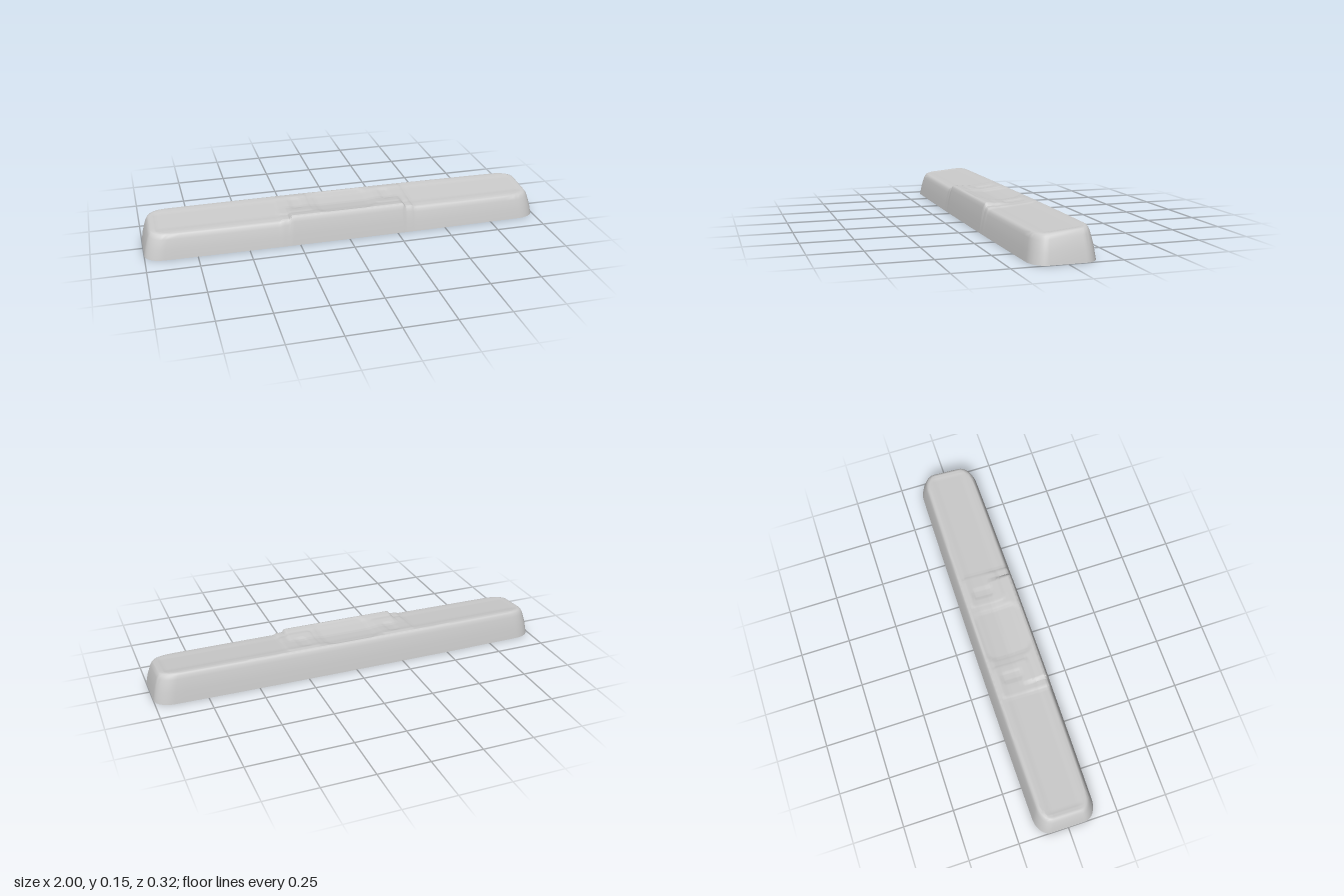
import * as THREE from 'three';
import { toCreasedNormals } from 'three/addons/utils/BufferGeometryUtils.js';

const material = new THREE.MeshStandardMaterial({ color: 0xcccccc, side: THREE.DoubleSide });
const { smoothstep } = THREE.MathUtils;

// 1 inside a rounded rectangle, fading to 0 across its edge
function pad(x, z, cx, cz, hx, hz, r, soft = 0.014) {
  const qx = Math.abs(x - cx) - hx + r, qz = Math.abs(z - cz) - hz + r;
  const d = Math.hypot(Math.max(qx, 0), Math.max(qz, 0)) + Math.min(Math.max(qx, qz), 0) - r;
  return 1 - smoothstep(d, -soft / 2, soft / 2);
}

// Height of the top: tilted plane, raised front centre, stepped pads and thumb dish
function topHeight(x, z) {
  const ax = Math.abs(x);
  const outer = pad(ax, z, 0, 0.05, 0.335, 0.16, 0.05);
  const inner = pad(ax, z, 0, 0.1, 0.29, 0.12, 0.05);
  const centre = pad(ax, z, 0, 0, 0.17, 0.125, 0.05);
  const raise = 0.3 * outer + 0.7 * Math.max(inner, centre);
  let y = 0.134 - 0.095 * z + 0.19 * Math.max(z, 0) * raise;
  y += 0.003 * pad(ax, z, 0.25, -0.02, 0.085, 0.09, 0.025);
  y -= 0.003 * pad(ax, z, 0.235, -0.03, 0.025, 0.05, 0.015);
  y -= 0.004 * pad(x, z, 0, 0, 0.135, 0.115, 0.05, 0.03);
  // shallow scoop inside the end lips
  return y - 0.0025 * smoothstep(0.955 - ax, 0.01, 0.03) * smoothstep(0.1 - Math.abs(z), 0, 0.04);
}

// Plan outline: half width at a lengthwise position between -1 and 1
const corner = 0.09;
function halfWidth(x) {
  const t = Math.max(0, (Math.abs(x) - 1 + corner) / corner);
  return (0.55 + 0.45 * Math.sqrt(Math.max(0, 1 - t * t))) * (1 - 0.05 * x * x);
}

function lengthSamples() {
  const half = [];
  for (let x = 0; x < 0.385; x += 0.008) half.push(x);
  for (let x = 0.42; x < 0.9; x += 0.04) half.push(x);
  for (let i = 0; i <= 10; i++) half.push(1 - corner + corner * Math.sin(i * Math.PI / 20));
  return [...half.slice(1).reverse().map(x => -x), ...half];
}

// Hollow shell: rings run down the inside, round the lip and up the outside
function shellGeometry() {
  const xs = lengthSamples(), n = xs.length, nz = 36;
  // half length, half width, share of the top height
  const levels = [
    [0.935, 0.112, 0.86], [0.95, 0.122, 0.8], [0.984, 0.147, 0],
    [1, 0.159, 0], [0.99, 0.151, 0.4], [0.974, 0.139, 0.8],
    [0.967, 0.134, 0.91], [0.96, 0.129, 0.97], [0.95, 0.122, 1]
  ];
  const pos = [], index = [];
  const point = ([a, b, f], i, s) => {
    const x = a * xs[i], z = b * s * halfWidth(xs[i]);
    pos.push(x, f * topHeight(x, z), z);
  };
  const quad = (a, b, c, d) => index.push(a, b, c, a, c, d);
  const ring = 2 * n;
  levels.forEach(l => {
    for (let i = 0; i < n; i++) point(l, i, 1);
    for (let i = n - 1; i >= 0; i--) point(l, i, -1);
  });
  for (let k = 0; k < levels.length - 1; k++)
    for (let i = 0; i < ring; i++) {
      const j = (i + 1) % ring, o = k * ring;
      quad(o + i, o + j, o + ring + j, o + ring + i);
    }
  // ceiling and top surface
  for (const [l, up] of [[levels[0], false], [levels[levels.length - 1], true]]) {
    const o = pos.length / 3;
    for (let i = 0; i < n; i++) for (let j = 0; j <= nz; j++) point(l, i, -1 + 2 * j / nz);
    for (let i = 0; i < n - 1; i++) for (let j = 0; j < nz; j++) {
      const a = o + i * (nz + 1) + j, b = a + nz + 1;
      if (up) quad(a, a + 1, b + 1, b); else quad(a, b, b + 1, a + 1);
    }
  }
  const g = new THREE.BufferGeometry();
  g.setAttribute('position', new THREE.Float32BufferAttribute(pos, 3));
  g.setIndex(index);
  return toCreasedNormals(g, 0.7);
}

// Cross rib with an arched lower edge
function ribGeometry() {
  const s = new THREE.Shape();
  s.moveTo(-0.144, 0.02);
  s.quadraticCurveTo(0, 0.11, 0.144, 0.02);
  s.lineTo(0.116, 0.113);
  s.lineTo(-0.116, 0.113);
  const g = new THREE.ExtrudeGeometry(s, { depth: 0.022, bevelEnabled: false, curveSegments: 16 });
  return g.translate(0, 0, -0.011).rotateY(-Math.PI / 2);
}

// Upright extrusion of a plan shape
function upright(shape, y0, y1) {
  const g = new THREE.ExtrudeGeometry(shape, { depth: y1 - y0, bevelEnabled: false, curveSegments: 24 });
  return g.rotateX(-Math.PI / 2).translate(0, y0, 0);
}

function squareShape(h, Type = THREE.Shape) {
  return new Type([[-h, -h], [h, -h], [h, h], [-h, h]].map(p => new THREE.Vector2(...p)));
}

export function createModel() {
  const group = new THREE.Group();
  const add = (name, geometry, x = 0) => {
    const mesh = new THREE.Mesh(geometry, material);
    mesh.name = name;
    mesh.position.x = x;
    group.add(mesh);
  };

  add('shell', shellGeometry());

  // Stiffening ribs either side of the stem
  const rib = ribGeometry();
  for (const side of [-1, 1])
    for (let i = 0; i < 6; i++) add('rib', rib, side * (0.13 + i * 0.05));

  // Square collar around the stem
  const collar = squareShape(0.066);
  collar.holes.push(squareShape(0.054, THREE.Path));
  add('stemCollar', upright(collar, 0.02, 0.118));

  // Round stem with a cross-shaped socket
  const stem = new THREE.Shape().absarc(0, 0, 0.043, 0, Math.PI * 2);
  const w = 0.009, l = 0.03;
  stem.holes.push(new THREE.Path([
    [w, w], [w, l], [-w, l], [-w, w], [-l, w], [-l, -w],
    [-w, -w], [-w, -l], [w, -l], [w, -w], [l, -w], [l, w]
  ].map(p => new THREE.Vector2(...p))));
  add('stem', upright(stem, 0.012, 0.118));

  return group;
}
